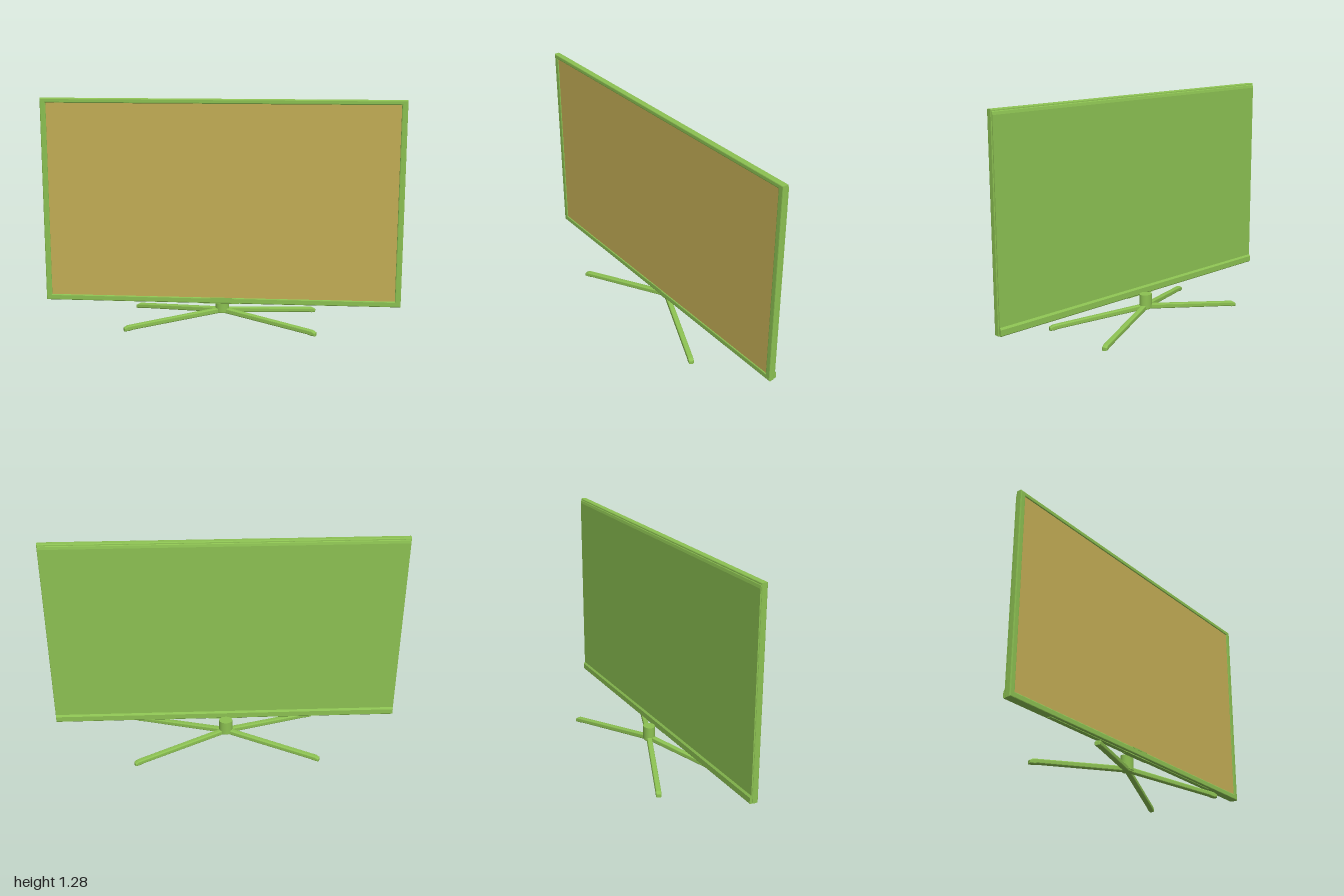
import * as THREE from 'three';

const GREEN = 0x8cc152, SCREEN = 0xc4ae55;

function add(parent, name, geometry, color = GREEN) {
  const mesh = new THREE.Mesh(geometry, new THREE.MeshStandardMaterial({ color }));
  mesh.name = name;
  parent.add(mesh);
  return mesh;
}

const shapeOf = (points) => new THREE.Shape(points.map(([x, y]) => new THREE.Vector2(x, y)));

// rectangle between two corners
const rect = (x, y0, y1) => [[-x, y0], [x, y0], [x, y1], [-x, y1]];

export function createModel() {
  const model = new THREE.Group();
  model.name = 'television';

  // rear shell: side profile (z, y) swept across the width, thicker along the bottom
  const profile = [
    [0.075, 0.13], [0.04, 0.13], [0.037, 0.134], [0.037, 0.165], [0.045, 0.176],
    [0.045, 1.25], [0.048, 1.265], [0.055, 1.274], [0.062, 1.277], [0.075, 1.277],
  ].map(([z, y]) => [-z, y]);
  const shellGeometry = new THREE.ExtrudeGeometry(shapeOf(profile), { depth: 1.992, bevelEnabled: false });
  shellGeometry.translate(0, 0, -0.996).rotateY(Math.PI / 2);
  add(model, 'rearShell', shellGeometry);

  // bezel: bevelled ring around the screen
  const b = 0.006;
  const ring = shapeOf(rect(1 - b, 0.13 + b, 1.278 - b));
  ring.holes.push(new THREE.Path(rect(0.967 + b, 0.163 - b, 1.252 + b).map(([x, y]) => new THREE.Vector2(x, y))));
  const bezelGeometry = new THREE.ExtrudeGeometry(ring, {
    depth: 0.022, bevelThickness: b, bevelSize: b, bevelSegments: 3,
  });
  bezelGeometry.translate(0, 0, 0.057);
  add(model, 'bezel', bezelGeometry);

  // screen, slightly recessed
  add(model, 'screen', new THREE.BoxGeometry(1.94, 1.096, 0.01), SCREEN).position.set(0, 0.7075, 0.075);

  // small trim bar and the strips under the panel
  add(model, 'trimBar', new THREE.BoxGeometry(0.12, 0.006, 0.006)).position.set(0, 0.16, 0.083);
  add(model, 'lowerStrip', new THREE.BoxGeometry(1.4, 0.006, 0.025)).position.set(0, 0.13, 0.058);
  add(model, 'mountPlate', new THREE.BoxGeometry(0.2, 0.008, 0.03)).position.set(0, 0.129, 0.058);

  // stand: oval post and four sloping legs
  const stand = new THREE.Group();
  stand.name = 'stand';
  model.add(stand);
  const post = add(stand, 'post', new THREE.CylinderGeometry(1, 1, 0.08, 32));
  post.scale.set(0.039, 1, 0.033);
  post.position.y = 0.103;
  const hub = add(stand, 'hub', new THREE.CylinderGeometry(1, 0.8, 0.025, 32));
  hub.scale.set(0.039, 1, 0.033);
  hub.position.y = 0.0675;

  // leg side profile along its length, with rounded edges and a flat foot
  const r = 0.007;
  const legShape = shapeOf([
    [0, 0.055 + r], [0.53, 0.005 + r], [0.55, r], [0.576 - r, r],
    [0.576 - r, 0.021 - r], [0.555, 0.029 - r], [0.53, 0.032 - r], [0, 0.085 - r],
  ]);
  const legGeometry = new THREE.ExtrudeGeometry(legShape, {
    depth: 0.016, bevelThickness: r, bevelSize: r, bevelSegments: 4,
  });
  legGeometry.translate(0, 0, -0.008);
  const spread = Math.atan2(0.222, 0.53);
  for (const angle of [spread, -spread, Math.PI - spread, Math.PI + spread]) {
    add(stand, 'leg', legGeometry).rotation.y = angle;
  }

  return model;
}
